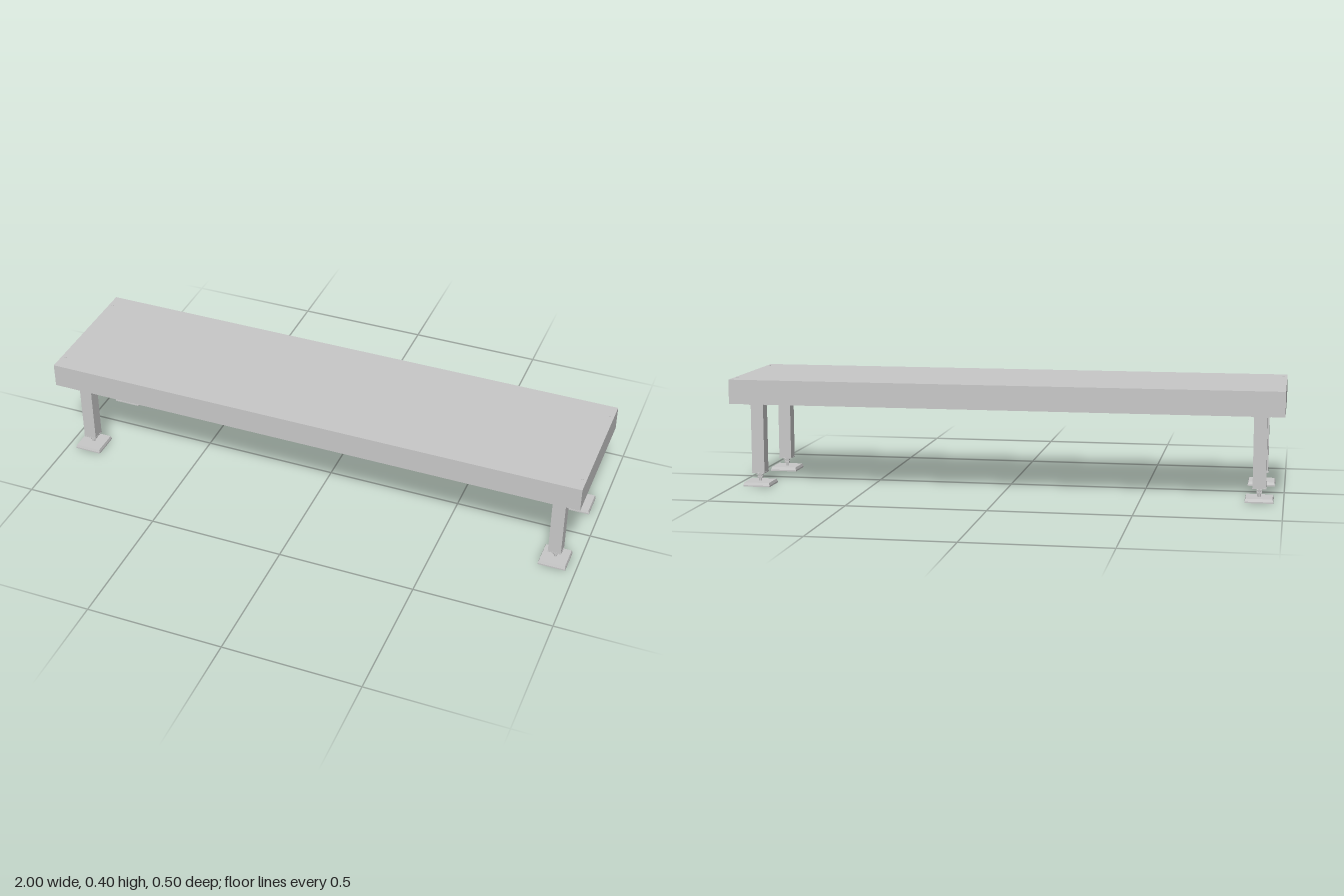
import * as THREE from 'three';

export function createModel() {
  const model = new THREE.Group();
  model.name = 'platform';
  const grey = new THREE.MeshStandardMaterial({ color: 0xc8c8c8, flatShading: true });
  grey.name = 'grey metal';

  const add = (parent, name, geometry, x, y, z) => {
    const mesh = new THREE.Mesh(geometry, grey);
    mesh.name = name;
    mesh.position.set(x, y, z);
    parent.add(mesh);
    return mesh;
  };
  // Box given by its width, depth, bottom and top
  const box = (parent, name, w, d, y0, y1, x, z) =>
    add(parent, name, new THREE.BoxGeometry(w, y1 - y0, d), x, (y0 + y1) / 2, z);

  // Rectangular ring, hollow in the middle
  const ring = (name, w, d, border, y0, y1) => {
    const rect = (path, a, b) => path.moveTo(-a, -b).lineTo(a, -b).lineTo(a, b).lineTo(-a, b).closePath();
    const shape = rect(new THREE.Shape(), w / 2, d / 2);
    shape.holes.push(rect(new THREE.Path(), w / 2 - border, d / 2 - border));
    const geometry = new THREE.ExtrudeGeometry(shape, { depth: y1 - y0, bevelEnabled: false });
    add(model, name, geometry.rotateX(-Math.PI / 2), 0, y0, 0);
  };

  // Deck sheet with a thin skirt, its inward lip and a ledge halfway up
  box(model, 'deck', 2, 0.5, 0.39, 0.4, 0, 0);
  ring('skirt', 2, 0.5, 0.008, 0.311, 0.39);
  ring('lip', 1.984, 0.484, 0.025, 0.311, 0.316);
  ring('ledge', 1.984, 0.484, 0.045, 0.35, 0.354);

  // Cross members under the deck
  for (const x of [-0.5, 0, 0.5]) box(model, 'crossMember', 0.025, 0.484, 0.35, 0.39, x, 0);

  // Square tapered foot, its sides parallel to the deck
  const footGeometry = new THREE.CylinderGeometry(0.0665, 0.0707, 0.01, 4).rotateY(Math.PI / 4);

  for (const sx of [-1, 1]) {
    for (const z of [-0.165, 0.165]) {
      const leg = new THREE.Group();
      leg.name = 'leg';
      leg.position.set(sx * 0.915, 0, z);
      model.add(leg);
      box(leg, 'post', 0.047, 0.047, 0.05, 0.39, 0, 0);
      box(leg, 'postEnd', 0.049, 0.049, 0.046, 0.05, 0, 0);
      // Threaded spindle with two nuts on a foot
      add(leg, 'spindle', new THREE.CylinderGeometry(0.0055, 0.0055, 0.034, 12), 0, 0.031, 0);
      for (const y of [0.0285, 0.0375]) {
        add(leg, 'nut', new THREE.CylinderGeometry(0.011, 0.011, 0.006, 6), 0, y, 0);
      }
      add(leg, 'foot', footGeometry, 0, 0.01, 0);
      box(leg, 'footBase', 0.1, 0.1, 0, 0.005, 0, 0);
      // Clamp plates at the top of the post
      box(leg, 'clamp', 0.07, 0.064, 0.298, 0.312, 0, 0.025);
      box(leg, 'clampPlate', 0.06, 0.05, 0.303, 0.312, 0, -0.005);
      // Mounting pad under the deck sheet and the brace reaching it
      box(leg, 'mountingPad', 0.1, 0.085, 0.384, 0.39, -sx * 0.09, 0);
      const brace = box(leg, 'brace', 0.1, 0.008, 0.346, 0.354, -sx * 0.045, 0);
      brace.rotation.z = -sx * 0.75;
      // Bolt head on the deck
      add(model, 'bolt', new THREE.CylinderGeometry(0.004, 0.004, 0.003, 10), sx * 0.985, 0.4, Math.sign(z) * 0.19);
    }
  }
  return model;
}
